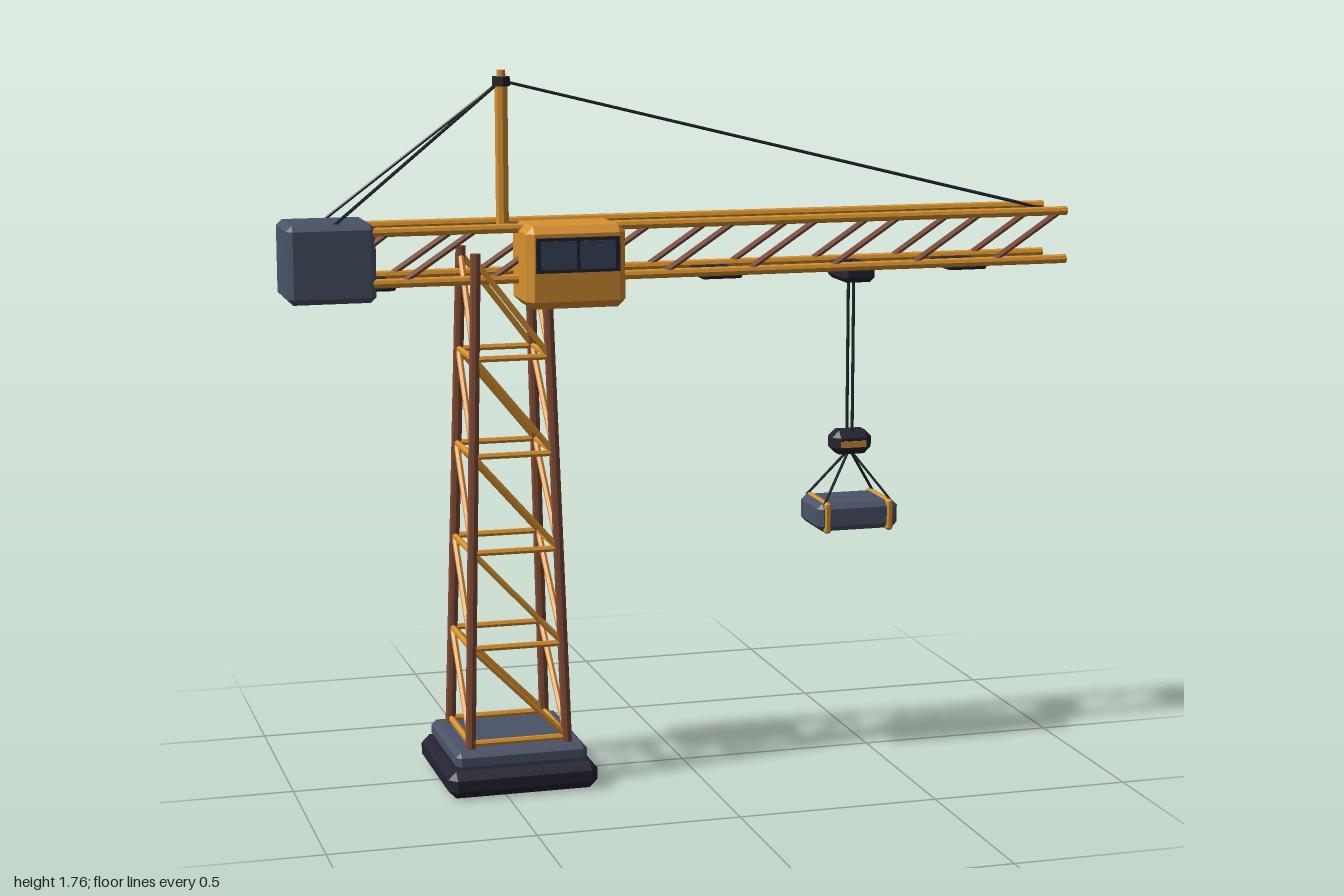
import * as THREE from 'three';
import { ConvexGeometry } from 'three/addons/geometries/ConvexGeometry.js';

const material = (name, color) => {
  const m = new THREE.MeshStandardMaterial({ color, flatShading: true });
  m.name = name;
  return m;
};

export function createModel() {
  const yellow = material('crane yellow', 0xd8922f);
  const rust = material('rust brown', 0x7f4a34);
  const slate = material('slate grey', 0x4a5468);
  const dark = material('dark navy', 0x242331);
  const cableMat = material('cable black', 0x20262e);
  const glass = material('window glass', 0x3a475e);

  const root = new THREE.Group();
  root.name = 'towerCrane';
  const group = (name) => {
    const g = new THREE.Group();
    g.name = name;
    root.add(g);
    return g;
  };

  // box with chamfered edges, given by centre and size
  const block = (parent, name, mat, [x, y, z], [w, h, d], c) => {
    const pts = [];
    for (const sx of [-1, 1]) for (const sy of [-1, 1]) for (const sz of [-1, 1]) {
      const a = w / 2, b = h / 2, e = d / 2;
      pts.push(new THREE.Vector3(sx * a, sy * (b - c), sz * (e - c)));
      pts.push(new THREE.Vector3(sx * (a - c), sy * b, sz * (e - c)));
      pts.push(new THREE.Vector3(sx * (a - c), sy * (b - c), sz * e));
    }
    const mesh = new THREE.Mesh(new ConvexGeometry(pts), mat);
    mesh.name = name;
    mesh.position.set(x, y, z);
    parent.add(mesh);
  };

  const plate = (parent, name, mat, [x, y, z], [w, h, d]) => {
    const mesh = new THREE.Mesh(new THREE.BoxGeometry(w, h, d), mat);
    mesh.name = name;
    mesh.position.set(x, y, z);
    parent.add(mesh);
  };

  // round bar between two points
  const bar = (parent, name, mat, from, to, r, sides = 6) => {
    const a = new THREE.Vector3(...from), b = new THREE.Vector3(...to);
    const dir = b.clone().sub(a);
    const mesh = new THREE.Mesh(new THREE.CylinderGeometry(r, r, dir.length(), sides), mat);
    mesh.name = name;
    mesh.position.copy(a).add(b).multiplyScalar(0.5);
    mesh.quaternion.setFromUnitVectors(new THREE.Vector3(0, 1, 0), dir.normalize());
    parent.add(mesh);
  };

  const TX = -0.456; // tower axis

  // stepped foundation
  const base = group('base');
  block(base, 'baseSlab', dark, [TX, 0.034, 0], [0.377, 0.068, 0.377], 0.02);
  block(base, 'basePlinth', slate, [TX, 0.087, 0], [0.33, 0.046, 0.33], 0.012);

  // tapering lattice tower
  const tower = group('tower');
  const half = (y) => 0.122 - (y - 0.11) * 0.029;
  const corner = (sx, sz, y) => [TX + sx * half(y), y, sz * half(y)];
  for (const sx of [-1, 1]) for (const sz of [-1, 1])
    bar(tower, 'towerLeg', rust, corner(sx, sz, 0.1), corner(sx, sz, 1.33), 0.013, 8);
  const bay = 0.238;
  for (let i = 0; i < 5; i++) {
    const y = 0.122 + i * bay, top = y + bay;
    for (const s of [-1, 1]) {
      bar(tower, 'towerRail', yellow, corner(-1, s, y), corner(1, s, y), 0.008);
      bar(tower, 'towerRail', yellow, corner(s, -1, y), corner(s, 1, y), 0.008);
      bar(tower, 'towerBrace', yellow, corner(1, s, y), corner(-1, s, top), 0.008);
      bar(tower, 'towerBrace', yellow, corner(s, 1, y), corner(s, -1, top), 0.008);
    }
  }

  // jib: four chords with slanted side braces
  const jib = group('jib');
  const JZ = 0.077, LOW = 1.265, HIGH = 1.388;
  for (const s of [-1, 1]) {
    for (const y of [LOW, HIGH])
      bar(jib, 'jibChord', yellow, [-0.86, y, s * JZ], [0.997, y, s * JZ], 0.0115, 8);
    for (let i = 0; i < 8; i++) {
      const x = 0.795 - i * 0.2167;
      bar(jib, 'jibBrace', rust, [x, LOW, s * JZ], [x + 0.185, HIGH, s * JZ], 0.008);
    }
    bar(jib, 'jibBrace', rust, [-0.86, 1.31, s * JZ], [-0.75, HIGH, s * JZ], 0.008);
  }
  for (const x of [-0.785, 0.085, 0.735])
    block(jib, 'jibWalkway', dark, [x, 1.254, 0], [0.105, 0.02, 0.135], 0.005);

  // counterweight on the short arm
  block(root, 'counterweight', slate, [-0.89, 1.315, 0], [0.214, 0.19, 0.186], 0.014);

  // operator cab with two-pane window
  const cab = group('cab');
  block(cab, 'cabBody', yellow, [-0.313, 1.3, 0.093], [0.246, 0.2, 0.172], 0.018);
  plate(cab, 'windowFrame', dark, [-0.312, 1.331, 0.182], [0.206, 0.084, 0.009]);
  for (const s of [-1, 1])
    plate(cab, 'windowPane', glass, [-0.312 + s * 0.048, 1.331, 0.187], [0.086, 0.068, 0.005]);

  // mast, collar and stay cables
  const mast = group('mast');
  bar(mast, 'mastPost', yellow, [TX, 1.375, 0], [TX, 1.735, 0], 0.016, 8);
  bar(mast, 'mastCollar', dark, [TX, 1.725, 0], [TX, 1.748, 0], 0.022, 8);
  bar(mast, 'mastTip', yellow, [TX, 1.745, 0], [TX, 1.764, 0], 0.011, 8);
  for (const s of [-1, 1]) {
    bar(mast, 'rearStay', cableMat, [TX, 1.738, 0], [-0.89, 1.4, s * 0.073], 0.004);
    bar(mast, 'frontStay', cableMat, [TX, 1.738, 0], [0.93, 1.396, s * 0.073], 0.004);
  }

  // trolley, hoist cables and hook block
  const HX = 0.445;
  const hoist = group('hoist');
  block(hoist, 'trolley', dark, [HX, 1.244, 0], [0.086, 0.046, 0.136], 0.012);
  for (const s of [-1, 1])
    bar(hoist, 'hoistCable', cableMat, [HX, 1.23, s * 0.02], [HX, 0.82, s * 0.02], 0.004);
  block(hoist, 'hookBlock', dark, [HX, 0.806, 0], [0.104, 0.062, 0.07], 0.018);
  for (const s of [-1, 1])
    plate(hoist, 'hookStripe', yellow, [HX, 0.803, s * 0.035], [0.066, 0.016, 0.006]);

  // slung load with straps
  const load = group('load');
  block(load, 'crate', slate, [HX, 0.624, 0], [0.215, 0.072, 0.156], 0.014);
  for (const s of [-1, 1]) {
    block(load, 'strap', yellow, [HX + s * 0.083, 0.624, 0], [0.017, 0.08, 0.164], 0.005);
    for (const t of [-1, 1])
      bar(load, 'sling', cableMat, [HX, 0.785, 0], [HX + s * 0.09, 0.658, t * 0.07], 0.0035);
  }

  return root;
}
